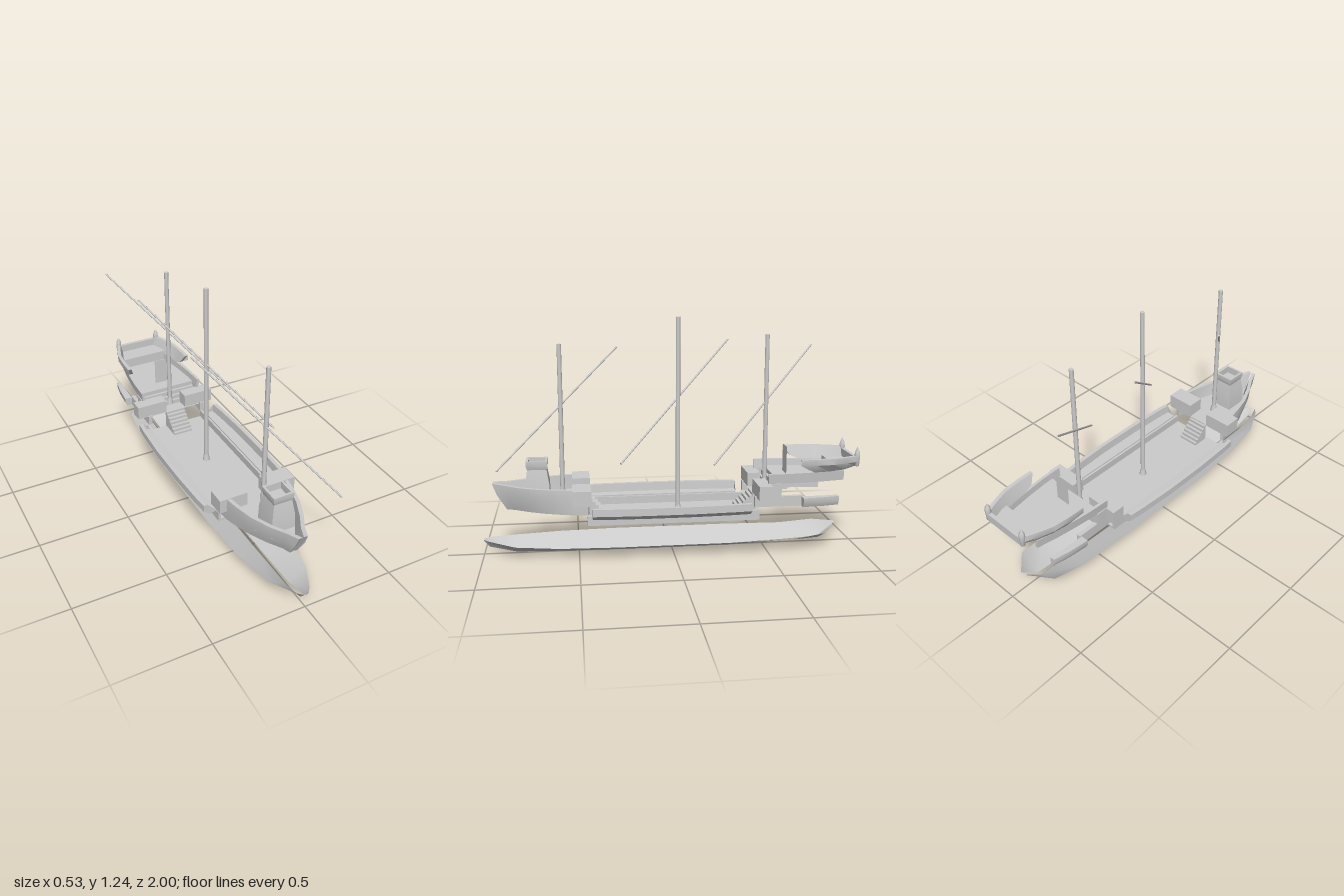
import * as THREE from 'three';
import { toCreasedNormals } from 'three/addons/utils/BufferGeometryUtils.js';

const mat = new THREE.MeshStandardMaterial({ color: 0xcccccc, side: THREE.DoubleSide });

export function createModel() {
  const root = new THREE.Group();

  const add = (name, geo, x = 0, y = 0, z = 0) => {
    const mesh = new THREE.Mesh(geo, mat);
    mesh.name = name;
    mesh.position.set(x, y, z);
    root.add(mesh);
    return mesh;
  };

  // box given by its limits
  const box = (name, x0, x1, y0, y1, z0, z1) =>
    add(name, new THREE.BoxGeometry(Math.abs(x1 - x0), y1 - y0, z1 - z0),
      (x0 + x1) / 2, (y0 + y1) / 2, (z0 + z1) / 2);

  // skin over cross-sections of [x, y, z] points, optionally ring-closed with end caps
  const loft = (name, sections, closed = false, side = 1) => {
    const n = sections[0].length, idx = [];
    const pos = sections.flat().flatMap(([x, y, z]) => [x * side, y, z]);
    const tri = (a, b, c) => (side > 0 ? idx.push(a, b, c) : idx.push(a, c, b));
    for (let i = 0; i < sections.length - 1; i++) {
      for (let j = 0; j < (closed ? n : n - 1); j++) {
        const a = i * n + j, b = i * n + (j + 1) % n;
        tri(a, b, a + n);
        tri(b, b + n, a + n);
      }
    }
    if (closed) {
      const e = (sections.length - 1) * n;
      for (let j = 1; j < n - 1; j++) {
        tri(0, j + 1, j);
        tri(e, e + j, e + j + 1);
      }
    }
    const geo = new THREE.BufferGeometry();
    geo.setAttribute('position', new THREE.Float32BufferAttribute(pos, 3));
    geo.setIndex(idx);
    return add(name, toCreasedNormals(geo, 0.6));
  };

  // flat floor from stations of [z, halfWidth]
  const floor = (name, y, stations) =>
    loft(name, stations.map(([z, w]) => [[-w, y, z], [w, y, z]]));

  // solid stairs climbing from z0 to z1
  const stairs = (name, w, y0, y1, z0, z1, count) => {
    const dz = (z1 - z0) / count, dy = (y1 - y0) / count;
    for (let i = 0; i < count; i++) {
      const a = z0 + i * dz;
      box(name, -w, w, y0, y0 + dy * (i + 1), Math.min(a, a + dz), Math.max(a, a + dz));
    }
  };

  for (const s of [1, -1]) {
    // bottom hull half: [z, keelY, edgeX, edgeY]
    loft('lowerHull', [
      [1, 0.08, 0.012, 0.085], [0.97, 0.045, 0.04, 0.082], [0.83, 0.012, 0.11, 0.068],
      [0.6, 0.006, 0.15, 0.065], [0.3, 0.002, 0.165, 0.065], [-0.3, 0.002, 0.165, 0.065],
      [-0.64, 0.015, 0.152, 0.065], [-0.82, 0.025, 0.13, 0.086], [-0.92, 0.105, 0.015, 0.108],
    ].map(([z, ky, ex, ey]) => [[0.01, ky, z], [ex, ey, z]]), false, s);

    // main deck side and overhanging bulwark
    box('hullSide', s * 0.168, s * 0.182, 0.193, 0.245, -0.445, 0.455);
    loft('bulwark', [[-0.39, 0.25], [-0.3, 0.258], [-0.1, 0.267], [0.15, 0.267], [0.35, 0.26], [0.43, 0.253]]
      .map(([z, x]) => [
        [0.18, 0.245, z], [x - 0.035, 0.236, z], [x, 0.262, z], [x, 0.3, z],
        [x - 0.022, 0.3, z], [x - 0.026, 0.255, z], [0.18, 0.252, z],
      ]), true, s);

    // forecastle side: [zTop, xTop, zBottom, xBottom, topY]
    loft('forecastleSide', [
      [0.45, 0.18, 0.45, 0.178, 0.382], [0.53, 0.175, 0.52, 0.172, 0.382], [0.6, 0.163, 0.58, 0.156, 0.382],
      [0.7, 0.138, 0.67, 0.125, 0.382], [0.8, 0.095, 0.76, 0.08, 0.382],
      [0.88, 0.05, 0.83, 0.035, 0.386], [0.945, 0.024, 0.872, 0.02, 0.392],
    ].map(([zt, xt, zb, xb, y]) => [
      [xb, 0.25, zb], [xt + 0.003, 0.33, (zt * 2 + zb) / 3], [xt, y, zt],
      [xt - 0.02, y, zt - 0.004], [xb - 0.018, 0.25, zb - 0.004],
    ]), true, s);

    // cross bulwarks beside both stairs
    for (const [z0, z1, x] of [[0.435, 0.53, 0.215], [-0.5, -0.43, 0.236]]) {
      loft('crossBulwark', [0.06, x].map(px => [
        [px, 0.305, z0], [px, 0.385, z0], [px, 0.385, z1], [px, 0.31, z1],
      ]), true, s);
    }
    box('sternCheek', s * 0.165, s * 0.185, 0.31, 0.385, -0.56, -0.49);

    // low stern sides and outboard wings
    box('lowerSternSide', s * 0.155, s * 0.178, 0.26, 0.315, -0.68, -0.42);
    loft('sternWing', [[-0.67, 0.18, 0.222], [-0.78, 0.178, 0.212], [-0.868, 0.17, 0.195]]
      .map(([z, a, b]) => [[a, 0.262, z], [b - 0.01, 0.262, z], [b, 0.285, z], [b, 0.312, z], [a, 0.312, z]]), true, s);

    // quarterdeck side
    loft('quarterdeckSide', [[-0.49, 0.187], [-0.6, 0.183], [-0.7, 0.173], [-0.8, 0.16], [-0.91, 0.14]]
      .map(([z, x]) => [[x - 0.006, 0.383, z], [x, 0.436, z], [x - 0.016, 0.436, z], [x - 0.02, 0.383, z]]), true, s);

    // flared poop rail: [zTop, zBottom, xTop, xBottom, bottomY]
    loft('poopRail', [
      [-0.66, -0.69, 0.195, 0.172, 0.46], [-0.74, -0.74, 0.194, 0.168, 0.436], [-0.84, -0.83, 0.186, 0.155, 0.436],
      [-0.92, -0.91, 0.16, 0.138, 0.44], [-0.99, -0.98, 0.132, 0.118, 0.455],
    ].map(([zt, zb, xt, xb, y]) => [
      [xb, y, zb], [xt, 0.478, zt], [xt, 0.51, zt], [xt - 0.02, 0.51, zt], [xb - 0.016, y, zb],
    ]), true, s);

    // stern post with pointed tip
    const post = [[0, 0.45], [0.012, 0.455], [0.016, 0.505], [0.014, 0.53], [0, 0.558]]
      .map(p => new THREE.Vector2(...p));
    add('sternPost', new THREE.LatheGeometry(post, 8), s * 0.125, 0, -0.984);
  }

  // decks
  box('mainDeck', -0.17, 0.17, 0.193, 0.203, -0.445, 0.455);
  floor('forecastleDeck', 0.305, [[0.44, 0.172], [0.53, 0.165], [0.6, 0.155], [0.7, 0.128], [0.8, 0.08], [0.88, 0.03]]);
  floor('lowerSternDeck', 0.305, [[-0.43, 0.17], [-0.56, 0.17]]);
  floor('quarterdeck', 0.4, [[-0.55, 0.178], [-0.7, 0.165], [-0.8, 0.152], [-0.88, 0.138]]);
  floor('poopDeck', 0.457, [[-0.87, 0.145], [-0.98, 0.118]]);
  box('poopStep', -0.138, 0.138, 0.4, 0.457, -0.88, -0.87);
  box('sternRail', -0.12, 0.12, 0.455, 0.5, -0.995, -0.975);

  // stairs
  stairs('foreStairs', 0.057, 0.2, 0.3, 0.35, 0.44, 6);
  stairs('aftStairs', 0.057, 0.2, 0.305, -0.33, -0.45, 7);
  stairs('quarterdeckSteps', 0.167, 0.305, 0.4, -0.5, -0.56, 4);

  // thin upright board behind the aft mast
  add('uprightBoard', new THREE.PlaneGeometry(0.085, 0.15), 0, 0.475, -0.62);

  // square lookout box with recessed top
  const tower = [[0.066, 0.305], [0.063, 0.385], [0.05, 0.465], [0.056, 0.485], [0.056, 0.51],
    [0.044, 0.51], [0.044, 0.47], [0.001, 0.47]].map(([r, y]) => new THREE.Vector2(r * Math.SQRT2, y));
  const towerGeo = new THREE.LatheGeometry(tower, 4, Math.PI / 4);
  add('lookoutBox', toCreasedNormals(towerGeo, 0.3), 0, 0, 0.71);

  // masts with deck collars, and slanted yards: [z, bottom, top, deckY, yardLow, yardHigh]
  for (const [z, y0, y1, deck, low, high] of [
    [0.58, 0.245, 1.112, 0.305, 0.51, 1.07],
    [-0.035, 0.183, 1.245, 0.2, 0.53, 1.105],
    [-0.51, 0.27, 1.15, 0.31, 0.51, 1.07],
  ]) {
    add('mast', new THREE.CylinderGeometry(0.0115, 0.0125, y1 - y0, 12), 0, (y0 + y1) / 2, z);
    add('mastCollar', new THREE.CylinderGeometry(0.014, 0.02, 0.04, 12), 0, deck + 0.02, z);
    const a = new THREE.Vector3(0.235, low, z + 0.32);
    const b = new THREE.Vector3(-0.238, high, z - 0.308);
    const dir = b.clone().sub(a);
    const yard = add('yard', new THREE.CylinderGeometry(0.005, 0.005, dir.length(), 8));
    yard.position.copy(a).add(b).multiplyScalar(0.5);
    yard.quaternion.setFromUnitVectors(new THREE.Vector3(0, 1, 0), dir.normalize());
  }

  return root;
}
